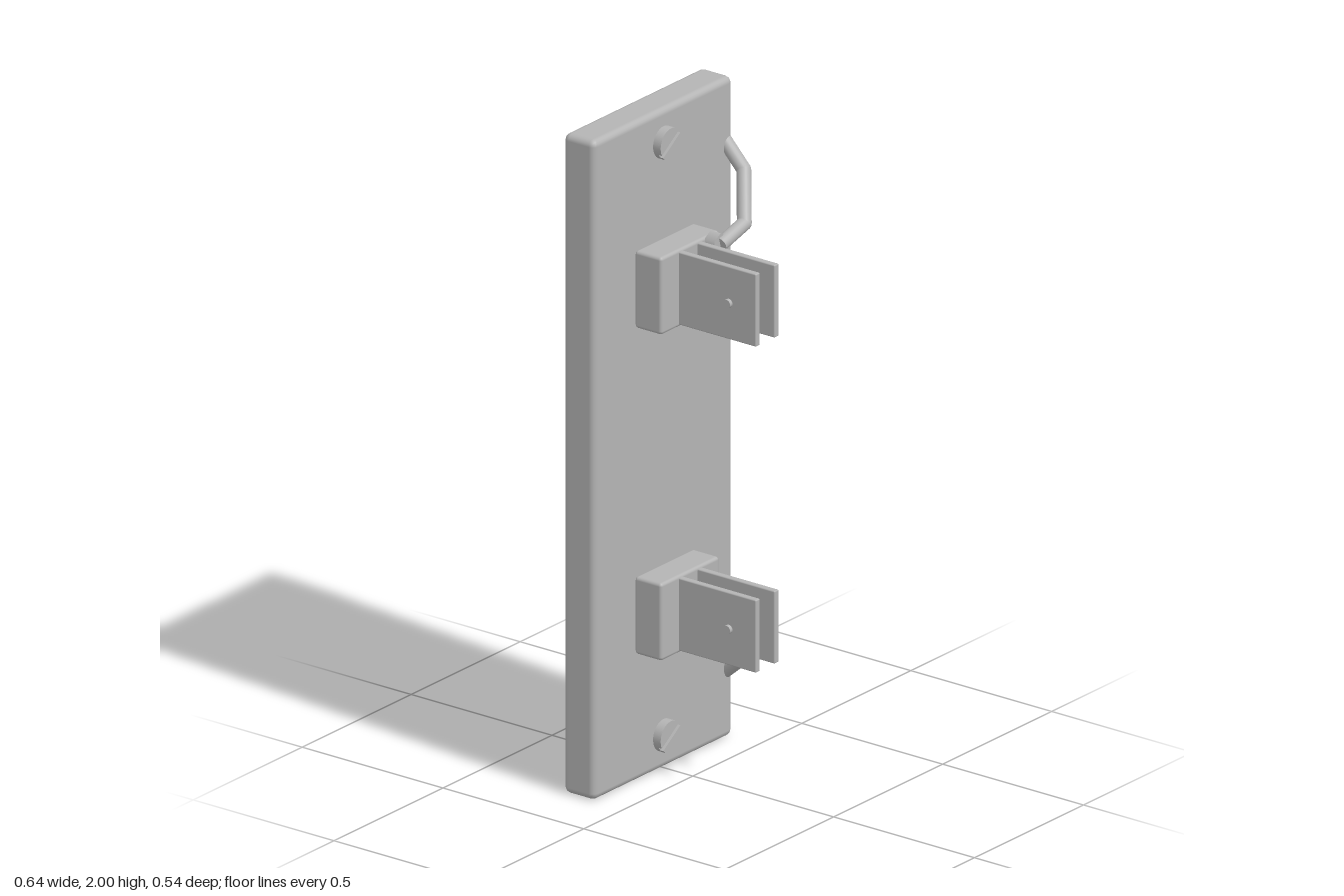
import * as THREE from 'three';
import { RoundedBoxGeometry } from 'three/addons/geometries/RoundedBoxGeometry.js';

const MID_Y = 1.0025; // height about which the two fittings mirror

export function createModel() {
  const model = new THREE.Group();
  model.name = 'contactBoard';
  const grey = new THREE.MeshStandardMaterial({ color: 0xb4b4b4 });
  grey.name = 'plain grey';

  const add = (parent, name, geometry, x, y, z) => {
    const mesh = new THREE.Mesh(geometry, grey);
    mesh.name = name;
    mesh.position.set(x, y, z);
    parent.add(mesh);
    return mesh;
  };

  // Rounded box given by its limits on each axis
  const box = (parent, name, [x0, x1], [y0, y1], [z0, z1], radius) =>
    add(parent, name, new RoundedBoxGeometry(x1 - x0, y1 - y0, z1 - z0, 2, radius),
      (x0 + x1) / 2, (y0 + y1) / 2, (z0 + z1) / 2);

  // Mounting board
  box(model, 'board', [-0.323, 0.315], [0.003, 2], [-0.212, -0.1], 0.02);

  // Slotted round screw: a base disc with two raised circle segments
  const addScrew = (parent, y) => {
    const screw = new THREE.Group();
    screw.name = 'screw';
    screw.position.set(-0.005, y, -0.1);
    screw.rotation.z = 0.6;
    parent.add(screw);
    const r = 0.048;
    add(screw, 'screwBase', new THREE.CylinderGeometry(r, r, 0.018, 32), 0, 0, 0.007).rotation.x = Math.PI / 2;
    const gap = 0.12;
    for (const start of [gap, Math.PI + gap]) {
      const half = new THREE.Shape();
      half.absarc(0, 0, r, start, start + Math.PI - 2 * gap, false);
      half.closePath();
      add(screw, 'screwHead',
        new THREE.ExtrudeGeometry(half, { depth: 0.011, bevelEnabled: false, curveSegments: 18 }), 0, 0, 0.016);
    }
  };

  // Bent cable: straight runs with round joints
  const addCable = (parent, points, radius) => {
    const cable = new THREE.Group();
    cable.name = 'cable';
    parent.add(cable);
    for (let i = 0; i < points.length - 1; i++) {
      const a = points[i], b = points[i + 1];
      const run = add(cable, 'cableRun',
        new THREE.CylinderGeometry(radius, radius, a.distanceTo(b), 20), 0, 0, 0);
      run.position.copy(a).lerp(b, 0.5);
      run.quaternion.setFromUnitVectors(new THREE.Vector3(0, 1, 0), b.clone().sub(a).normalize());
      if (i > 0) add(cable, 'cableJoint', new THREE.SphereGeometry(radius, 20, 14), a.x, a.y, a.z);
    }
  };

  // Two fittings, the lower one a mirror of the upper
  for (const side of [1, -1]) {
    const fitting = new THREE.Group();
    fitting.name = side > 0 ? 'upperFitting' : 'lowerFitting';
    model.add(fitting);
    const up = (y) => MID_Y + side * (y - MID_Y);
    const yc = up(1.496);

    // Base block with two contact blades and a cross pin
    box(fitting, 'block', [-0.138, 0.13], [yc - 0.117, yc + 0.117], [-0.101, -0.005], 0.01);
    for (const x of [-0.047, 0.039])
      box(fitting, 'blade', [x - 0.01, x + 0.01], [yc - 0.11, yc + 0.11], [-0.01, 0.268], 0.004);
    add(fitting, 'pin', new THREE.CylinderGeometry(0.013, 0.013, 0.128, 20), -0.004, yc, 0.172)
      .rotation.z = Math.PI / 2;

    // Hexagonal terminal that holds the cable
    add(fitting, 'terminal', new THREE.CylinderGeometry(0.034, 0.034, 0.036, 6).toNonIndexed(), 0.092, up(1.59), 0.01)
      .rotation.x = Math.PI / 2;
    addCable(fitting, [
      [0.09, 1.59, 0.028], [0.2, 1.62, 0.028], [0.283, 1.74, -0.038],
      [0.296, 1.81, -0.12], [0.3, 1.89, -0.258],
    ].map(([x, y, z]) => new THREE.Vector3(x, up(y), z)), 0.021);

    addScrew(fitting, up(1.9));
  }
  return model;
}
